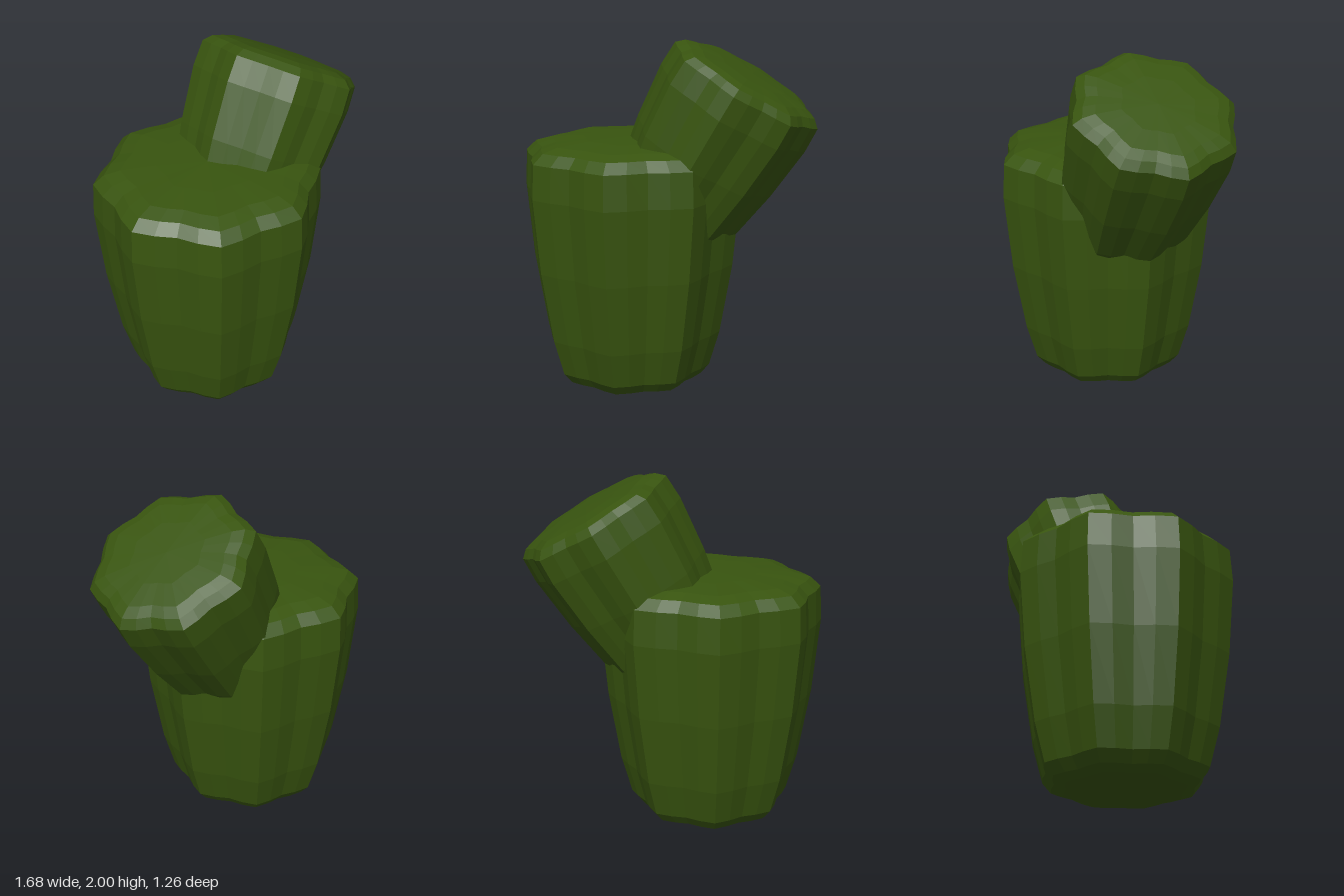
import * as THREE from 'three';

// Ridge profile of a stem, from the bottom centre up: [radius, height]
const PROFILE = [
  [0, 0], [0.22, 0.01], [0.34, 0.025], [0.41, 0.05], [0.46, 0.11], [0.52, 0.32], [0.59, 0.73],
  [0.63, 1.16], [0.62, 1.355], [0.56, 1.41], [0.47, 1.435], [0.28, 1.45], [0, 1.455],
];
// Depth of the flute at each quarter step from one ridge to the next
const FLUTE = [0, 0.055, 0.1, 0.055];
const RIBS = 8;

// A lathe whose vertices are pulled inward between the ribs
function ribbedStem() {
  const points = PROFILE.map(([r, y]) => new THREE.Vector2(r, y));
  const geo = new THREE.LatheGeometry(points, RIBS * 4);
  const pos = geo.attributes.position;
  for (let i = 0; i < pos.count; i++) {
    const step = Math.floor(i / points.length);
    const k = 1 - FLUTE[step % 4];
    pos.setX(i, pos.getX(i) * k);
    pos.setZ(i, pos.getZ(i) * k);
  }
  geo.computeVertexNormals();
  return geo;
}

export function createModel() {
  const group = new THREE.Group();
  group.name = 'cactus';
  const green = new THREE.MeshStandardMaterial({ color: 0x38540f, flatShading: true });
  green.name = 'cactus green';
  const geo = ribbedStem();

  // Upright trunk
  const trunk = new THREE.Mesh(geo, green);
  trunk.name = 'trunk';
  trunk.position.x = -0.21;
  group.add(trunk);

  // Smaller copy leaning out of the trunk's left side
  const arm = new THREE.Mesh(geo, green);
  arm.name = 'arm';
  arm.scale.setScalar(0.74);
  arm.rotation.z = -Math.PI / 6;
  arm.position.set(-0.06, 0.89, 0);
  group.add(arm);

  return group;
}
